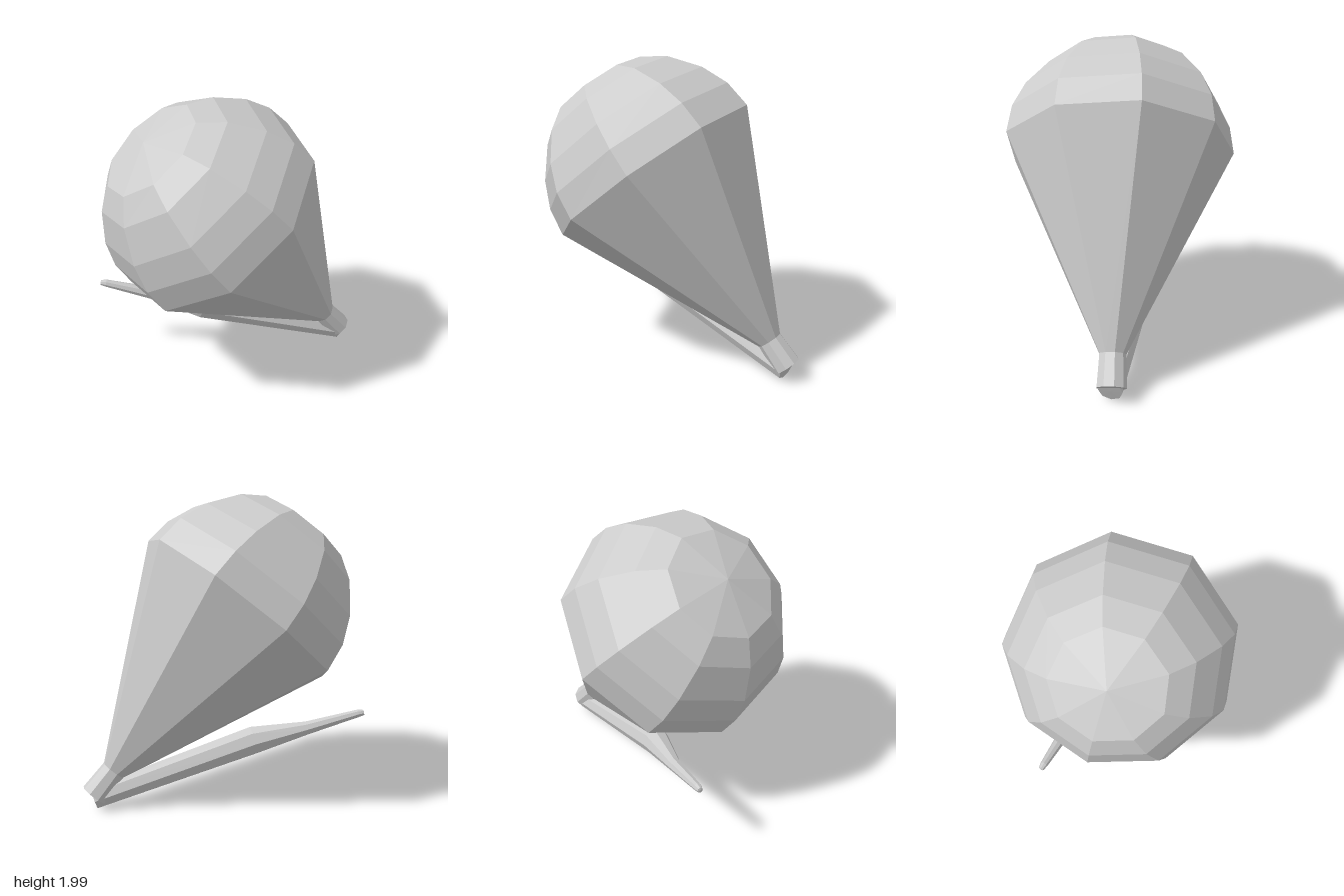
import * as THREE from 'three';

const V = (x, y, z) => new THREE.Vector3(x, y, z);
const material = new THREE.MeshStandardMaterial({ color: 0xcccccc, flatShading: true });

// Skin round cross-sections along a list of [centre, radius] stations.
// "reference" sets the direction of the first corner in every section.
function loft(name, stations, sides, reference, phase = 0) {
  const rings = stations.map(([centre, radius], i) => {
    const before = stations[Math.max(i - 1, 0)][0];
    const after = stations[Math.min(i + 1, stations.length - 1)][0];
    let t = after.clone().sub(before);
    if (t.lengthSq() < 1e-8) t = V(0, 1, 0);
    t.normalize();
    const u = reference.clone().addScaledVector(t, -reference.dot(t)).normalize();
    const v = t.clone().cross(u);
    return Array.from({ length: sides }, (_, j) => {
      const a = phase + (j / sides) * Math.PI * 2;
      return centre.clone()
        .addScaledVector(u, radius * Math.cos(a))
        .addScaledVector(v, radius * Math.sin(a));
    });
  });
  const points = [];
  for (let i = 0; i < rings.length - 1; i++) {
    for (let j = 0; j < sides; j++) {
      const k = (j + 1) % sides;
      const a = rings[i][j], b = rings[i][k], c = rings[i + 1][k], d = rings[i + 1][j];
      if (stations[i][1] > 0) points.push(a, b, c);
      if (stations[i + 1][1] > 0) points.push(a, c, d);
      // Closing fans need the triangle that keeps both ring corners
      if (stations[i][1] === 0) continue;
    }
  }
  const geometry = new THREE.BufferGeometry().setFromPoints(points);
  geometry.computeVertexNormals();
  const mesh = new THREE.Mesh(geometry, material);
  mesh.name = name;
  return mesh;
}

export function createModel() {
  const model = new THREE.Group();
  model.name = 'bulbWithStalk';

  // Nine-sided bulb: flat end, short neck, long cone, rounded head
  const end = V(0.775, 0.10, -0.595);
  const axis = V(-0.524, 0.764, 0.377).normalize();
  const profile = [
    [0, 0], [0, 0.093], [0.2, 0.083], [1.52, 0.75], [1.705, 0.727],
    [1.882, 0.65], [2.072, 0.503], [2.18, 0.352], [2.245, 0],
  ];
  const bulb = profile.map(([t, r]) => [end.clone().addScaledVector(axis, t), r]);
  model.add(loft('bulb', bulb, 9, V(0.825, 0.565, -0.013)));

  // Slender bent stalk, swelling in the middle and tapering to the tip
  const stalk = [
    [V(0.78, 0.08, -0.59), 0],
    [V(0.779, 0.0803, -0.5895), 0.075],
    [V(-0.165, 0.415, -0.15), 0.094],
    [V(-0.5, 0.503, -0.075), 0.045],
    [V(-0.82, 0.6, 0.025), 0.026],
    [V(-0.853, 0.605, 0.035), 0.018],
    [V(-0.856, 0.606, 0.036), 0],
  ];
  model.add(loft('stalk', stalk, 8, V(0, 1, 0)));

  return model;
}
